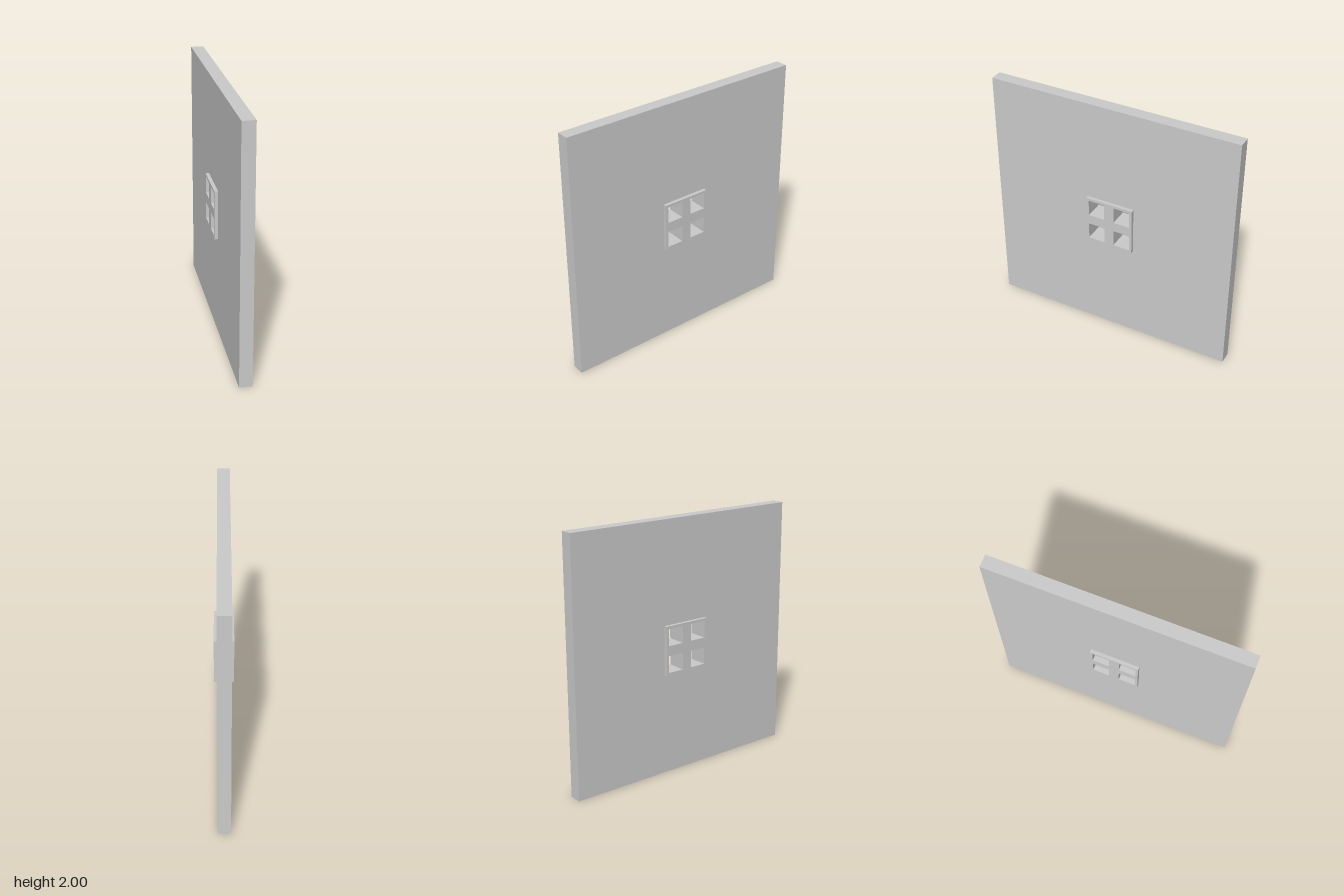
import * as THREE from 'three';

const material = new THREE.MeshStandardMaterial({ color: 0xcccccc, flatShading: true });

// Trace a centred square of the given half size
function square(path, cx, cy, half) {
  path.moveTo(cx - half, cy - half);
  path.lineTo(cx + half, cy - half);
  path.lineTo(cx + half, cy + half);
  path.lineTo(cx - half, cy + half);
  path.closePath();
  return path;
}

// Upright square slab in the zy plane, pierced by square openings
function slab(name, half, thickness, openings) {
  const shape = square(new THREE.Shape(), 0, 0, half);
  for (const [cx, cy, size] of openings) {
    shape.holes.push(square(new THREE.Path(), cx, cy, size));
  }
  const geometry = new THREE.ExtrudeGeometry(shape, { depth: thickness, bevelEnabled: false });
  geometry.translate(0, 0, -thickness / 2);
  geometry.rotateY(Math.PI / 2);
  const mesh = new THREE.Mesh(geometry, material);
  mesh.name = name;
  mesh.position.y = 1;
  return mesh;
}

export function createModel() {
  const group = new THREE.Group();
  group.name = 'wallWithWindow';
  const frameHalf = 0.195;

  // Wall with an opening that the window frame fills
  group.add(slab('wall', 1, 0.1, [[0, 0, frameHalf]]));

  // Window frame with four panes, standing proud of both wall faces
  const panes = [];
  for (const sx of [-1, 1]) {
    for (const sy of [-1, 1]) panes.push([sx * 0.107, sy * 0.107, 0.067]);
  }
  group.add(slab('windowFrame', frameHalf, 0.154, panes));

  return group;
}
